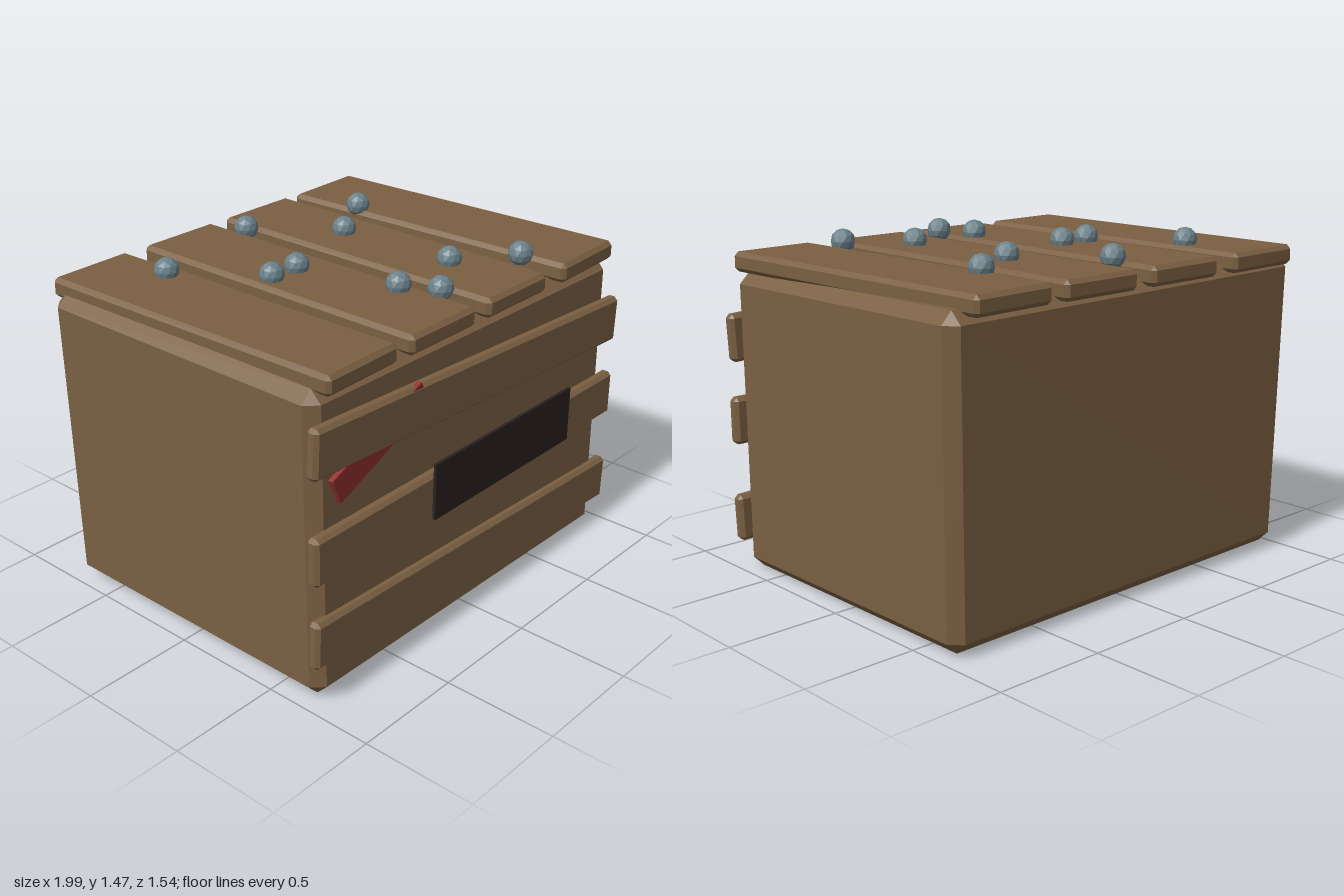
import * as THREE from 'three';
import { ConvexGeometry } from 'three/addons/geometries/ConvexGeometry.js';

const material = (name, color) => {
  const m = new THREE.MeshStandardMaterial({ color, flatShading: true });
  m.name = name;
  return m;
};

// Chamfered solid from eight corners: each corner becomes three inset points.
function chamferSolid(corners, bevel) {
  const points = [];
  for (const [x, y, z, sx, sy, sz] of corners) {
    for (let axis = 0; axis < 3; axis++) {
      const inset = [sx, sy, sz].map((s, i) => (i === axis ? 0 : -s * bevel));
      points.push(new THREE.Vector3(x + inset[0], y + inset[1], z + inset[2]));
    }
  }
  return new ConvexGeometry(points);
}

function chamferBox(w, h, d, bevel) {
  const corners = [];
  for (const x of [-1, 1]) for (const y of [-1, 1]) for (const z of [-1, 1])
    corners.push([x * w / 2, y * h / 2, z * d / 2, x, y, z]);
  return chamferSolid(corners, bevel);
}

export function createModel() {
  const model = new THREE.Group();
  model.name = 'crate';
  const wood = material('wood', 0x7b6043);
  const dark = material('darkPlate', 0x2a2021);
  const red = material('redPaint', 0x8f302c);
  const steel = material('steel', 0x6b818a);

  const add = (name, geometry, mat, x = 0, y = 0, z = 0) => {
    const mesh = new THREE.Mesh(geometry, mat);
    mesh.name = name;
    mesh.position.set(x, y, z);
    model.add(mesh);
    return mesh;
  };

  // Slightly crooked body
  add('body', chamferSolid([
    [-0.96, 0.02, 0.72, -1, -1, 1],
    [0.95, 0.0, 0.72, 1, -1, 1],
    [-0.965, 0.025, -0.71, -1, -1, -1],
    [0.96, 0.01, -0.705, 1, -1, -1],
    [-0.96, 1.335, 0.70, -1, 1, 1],
    [0.97, 1.32, 0.70, 1, 1, 1],
    [-0.98, 1.35, -0.73, -1, 1, -1],
    [0.99, 1.34, -0.73, 1, 1, -1],
  ], 0.05), wood);

  // Lid planks: centre x, turn about y
  [[-0.722, 0.023], [-0.237, 0.002], [0.245, 0], [0.73, 0.038]].forEach(([x, turn], i) => {
    add(`lidPlank${i + 1}`, chamferBox(0.4, 0.085, 1.49, 0.018), wood, x, 1.357, -0.018).rotation.y = turn;
  });

  // Front planks: centre y, tilt
  [[1.075, -0.046], [0.668, -0.002], [0.263, -0.037]].forEach(([y, tilt], i) => {
    add(`frontPlank${i + 1}`, chamferBox(1.985, 0.208, 0.058, 0.016), wood, 0, y, 0.72).rotation.z = tilt;
  });

  // Red strip tucked behind the top front plank
  add('redStrip', new THREE.BoxGeometry(0.552, 0.118, 0.022), red, -0.627, 1.044, 0.736).rotation.z = 0.411;

  // Dark plate on the front
  add('frontPlate', new THREE.BoxGeometry(0.935, 0.25, 0.014), dark, 0.153, 0.7, 0.759);

  // Round rivets on the lid
  const rivet = new THREE.IcosahedronGeometry(0.054, 1).rotateZ(-0.5536);
  [[-0.605, -0.43], [-0.022, -0.553], [0.545, -0.395], [0.258, -0.226], [-0.355, -0.075],
    [-0.21, -0.072], [-0.097, 0.378], [0.269, 0.35], [-0.02, 0.532], [0.515, 0.538]].forEach(([x, z], i) => {
    add(`rivet${i + 1}`, rivet, steel, x, 1.42, z);
  });

  return model;
}
